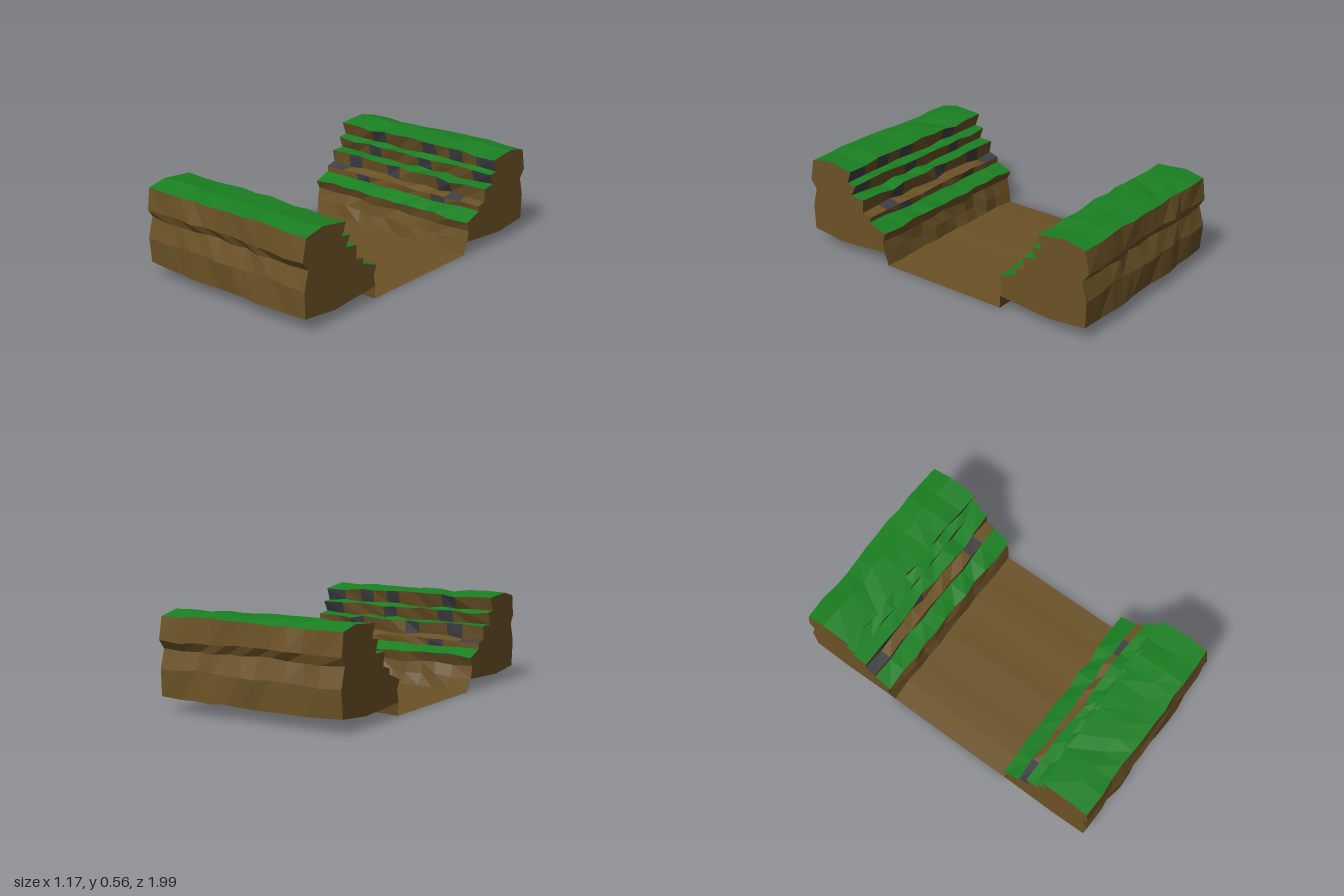
import * as THREE from 'three';

const BROWN = 0x6b5226, GREEN = 0x1a8022, GREY = 0x3f3f44;

// Stations along the valley
const X = [-0.588, -0.45, -0.345, -0.245, -0.145, -0.05, 0.05, 0.145, 0.245, 0.34, 0.45, 0.585];

// Bank cross-section as [z, y]: inner foot, up the terraces, over the top, down the outside
const PROFILE = [
  [0.425, 0.085], [0.44, 0.155], [0.415, 0.21], [0.525, 0.25], [0.52, 0.282], [0.583, 0.295],
  [0.572, 0.373], [0.66, 0.38], [0.635, 0.445], [0.695, 0.455], [0.67, 0.533],
  [0.85, 0.55], [0.97, 0.53], [0.988, 0.395], [0.957, 0.35], [0.985, 0.24], [0.98, 0.08], [0.755, 0.06],
];
const GRASS = new Set([2, 7, 6, 8, 10, 11].filter((i) => i !== 7));

// Stones showing in the steps: profile segment -> stations
const STONES = { 3: [2, 8], 4: [0, 9], 5: [1, 4, 8], 7: [2, 6, 10], 9: [2, 6, 8, 10] };

// Repeatable noise in -1..1
function noise(a, b) {
  const s = Math.sin(a * 127.1 + b * 311.7 + 17.3) * 43758.5453;
  return 2 * (s - Math.floor(s)) - 1;
}

// Weathered point of the bank at profile index i, station c
function bankPoint(i, c, side) {
  const [z, y] = PROFILE[i];
  const end = c === 0 || c === X.length - 1 ? 0.5 : 1;
  const zz = Math.min(1, z + 0.012 * end * noise(i, c));
  const yy = y + 0.01 * end * noise(i + 40, c);
  return [X[c], yy, side * zz];
}

function mesh(name, positions, color, side = THREE.FrontSide) {
  const geometry = new THREE.BufferGeometry();
  geometry.setAttribute('position', new THREE.Float32BufferAttribute(positions, 3));
  geometry.computeVertexNormals();
  const m = new THREE.Mesh(geometry, new THREE.MeshStandardMaterial({ color, flatShading: true, side }));
  m.name = name;
  return m;
}

function bank(name, side) {
  const soil = [], grass = [], stone = [];
  const n = PROFILE.length;
  const tri = (out, a, b, c) => (side > 0 ? out.push(...a, ...b, ...c) : out.push(...a, ...c, ...b));

  // Skin of the bank, sorted by material
  for (let i = 0; i < n; i++) {
    const j = (i + 1) % n;
    for (let c = 0; c < X.length - 1; c++) {
      const out = GRASS.has(i) ? grass : STONES[i]?.includes(c) ? stone : soil;
      const a = bankPoint(i, c, side), b = bankPoint(j, c, side);
      const d = bankPoint(i, c + 1, side), e = bankPoint(j, c + 1, side);
      tri(out, a, b, e);
      tri(out, a, e, d);
    }
  }

  // Cut ends
  for (const c of [0, X.length - 1]) {
    const pts = PROFILE.map((_, i) => bankPoint(i, c, side));
    const flat = pts.map((p) => new THREE.Vector2(p[2] * side, p[1]));
    for (const [i, j, k] of THREE.ShapeUtils.triangulateShape(flat, [])) {
      const ccw = THREE.ShapeUtils.area([flat[i], flat[j], flat[k]]) > 0;
      if (ccw === (c === 0)) tri(soil, pts[i], pts[j], pts[k]);
      else tri(soil, pts[i], pts[k], pts[j]);
    }
  }

  const group = new THREE.Group();
  group.name = name;
  group.add(mesh('soil', soil, BROWN), mesh('grass', grass, GREEN), mesh('stones', stone, GREY));
  return group;
}

// Thin river bed with low walls that meet the feet of both banks
function riverBed() {
  const out = [];
  const foot = (c, side) => [
    X[c] * 0.975,
    Math.max(0, 0.006 + 0.006 * noise(90, c)),
    side * (0.408 + 0.006 * noise(91, c)),
  ];
  const section = (c) => [bankPoint(0, c, -1), foot(c, -1), foot(c, 1), bankPoint(0, c, 1)];
  for (let c = 0; c < X.length - 1; c++) {
    const p = section(c), q = section(c + 1);
    for (let i = 0; i < 3; i++) {
      out.push(...p[i], ...p[i + 1], ...q[i + 1], ...p[i], ...q[i + 1], ...q[i]);
    }
  }
  return mesh('riverBed', out, BROWN, THREE.DoubleSide);
}

export function createModel() {
  const model = new THREE.Group();
  model.name = 'terracedValley';
  model.add(bank('frontBank', 1), bank('backBank', -1), riverBed());
  return model;
}
